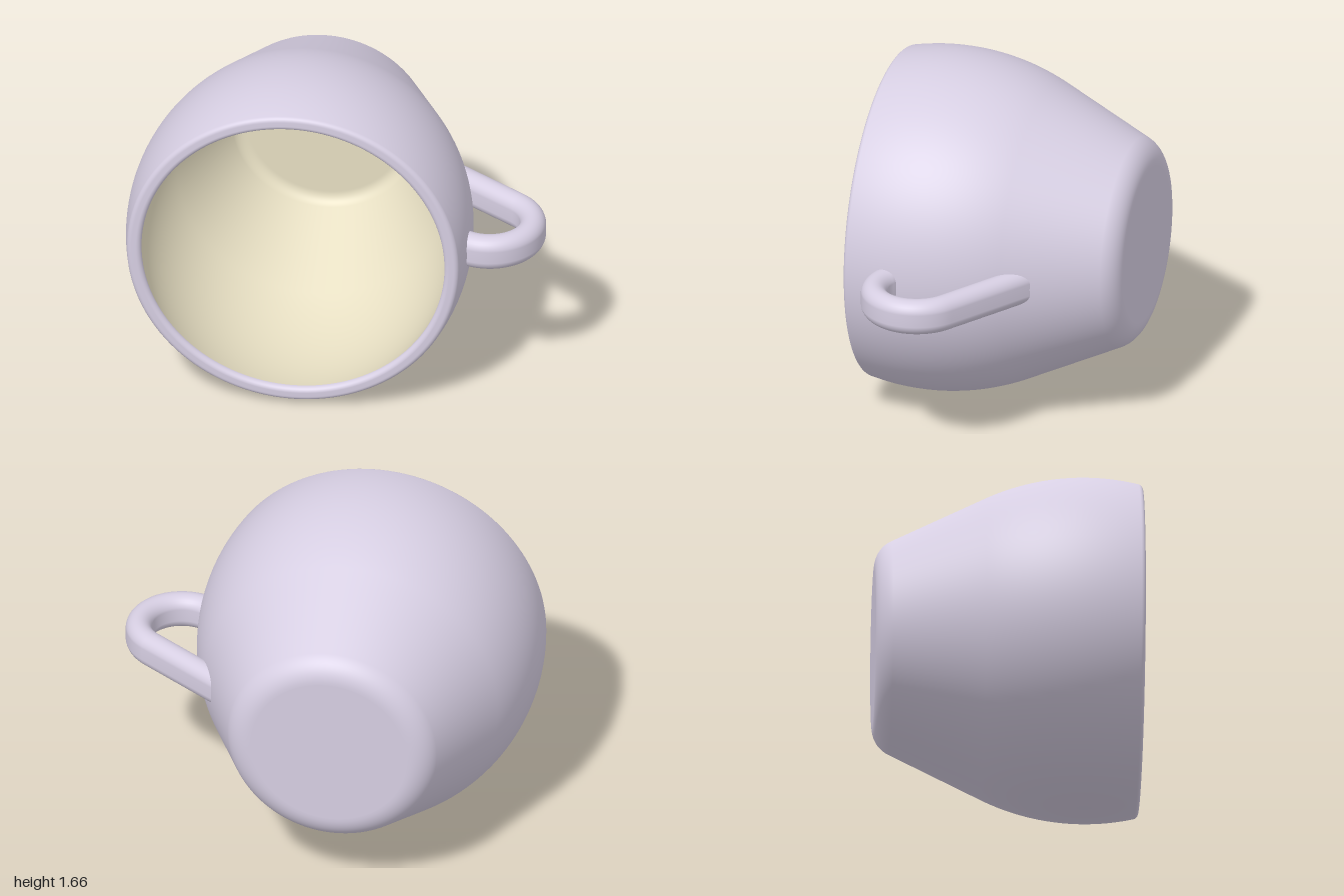
import * as THREE from 'three';

const SLOPE = 0.445;             // wall taper angle in radians
const AXIS_X = -0.17, AXIS_Y = 0.83;
const WALL = 0.07, BULGE = 1.14; // wall thickness, radius of the bulging side

// Points (radius, z) along an arc
function arc(cr, cz, radius, from, to, n) {
  return Array.from({ length: n + 1 }, (_, i) => {
    const a = from + (to - from) * i / n;
    return new THREE.Vector2(cr + radius * Math.cos(a), cz + radius * Math.sin(a));
  });
}

// Base centre, rounded foot, straight taper and bulge, inset by `inset`
function wallProfile(inset, endAngle) {
  const foot = 0.14 - inset, base = -0.5 - foot;
  return [
    new THREE.Vector2(0, base),
    new THREE.Vector2(0.38, base),
    ...arc(0.385, -0.5, foot, -Math.PI / 2, -SLOPE, 12),
    ...arc(-0.31, 0.37, BULGE - inset, -SLOPE, endAngle, 28),
  ];
}

// Outer radius of the side wall at a given z
function outerRadius(z) {
  const join = 0.37 - BULGE * Math.sin(SLOPE);
  if (z > join) return -0.31 + Math.sqrt(BULGE ** 2 - (z - 0.37) ** 2);
  return -0.31 + BULGE * Math.cos(SLOPE) + (z - join) * Math.tan(SLOPE);
}

function lathe(points, material, name) {
  const geometry = new THREE.LatheGeometry(points, 128);
  geometry.rotateX(Math.PI / 2);
  const mesh = new THREE.Mesh(geometry, material);
  mesh.position.set(AXIS_X, AXIS_Y, 0);
  mesh.name = name;
  return mesh;
}

// Stadium section swept round the bend, its ends trimmed inside the wall
function handleGeometry() {
  const cx = 0.73, cz = 0.235, bend = 0.207, half = 0.0625, straight = 0.025;
  const from = -0.977, to = Math.PI / 2 + 0.38, steps = 36, sides = 32;
  const rings = [];
  const ring = (a, trim) => {
    const points = [];
    for (let j = 0; j < sides; j++) {
      const t = (j + 0.5) / sides * Math.PI * 2;
      const d = bend + half * Math.cos(t);
      const p = new THREE.Vector3(cx + d * Math.cos(a),
        half * Math.sin(t) + Math.sign(Math.sin(t)) * straight, cz + d * Math.sin(a));
      // slide along the path until halfway through the wall
      for (let k = 0; trim && k < 400; k++) {
        if (Math.hypot(p.x - AXIS_X, p.y) < outerRadius(p.z) - WALL / 2) break;
        p.x -= trim * Math.sin(a) * 0.003;
        p.z += trim * Math.cos(a) * 0.003;
      }
      points.push(p);
    }
    rings.push(points);
  };
  ring(from, -1);
  for (let i = 0; i <= steps; i++) ring(from + (to - from) * i / steps, 0);
  ring(to, 1);

  const index = [];
  for (let i = 0; i < rings.length - 1; i++) {
    for (let j = 0; j < sides; j++) {
      const a = i * sides + j, b = i * sides + (j + 1) % sides;
      index.push(a, b, a + sides, b, b + sides, a + sides);
    }
  }
  const geometry = new THREE.BufferGeometry().setFromPoints(rings.flat());
  geometry.setIndex(index);
  geometry.computeVertexNormals();
  return geometry;
}

export function createModel() {
  const group = new THREE.Group();
  group.name = 'cup';
  const glaze = new THREE.MeshStandardMaterial({ color: 0xd6cee2 });
  const cream = new THREE.MeshStandardMaterial({ color: 0xe6dec2 });

  // Outer shell with a rounded lip running over to the inside
  const lip = 0.025;
  const outAngle = Math.asin(0.25 / BULGE);
  const inAngle = Math.asin(0.24 / (BULGE - WALL));
  const outer = wallProfile(0, outAngle);
  const inner = wallProfile(WALL, inAngle);
  const o = outer[outer.length - 1], n = inner[inner.length - 1];
  const rim = [
    ...arc(o.x - lip * Math.cos(outAngle), o.y - lip * Math.sin(outAngle), lip, outAngle, Math.PI / 2, 8),
    ...arc(n.x + lip * Math.cos(inAngle), n.y + lip * Math.sin(inAngle), lip, Math.PI / 2, Math.PI + inAngle, 8),
  ];
  // drop coincident points so the normals stay smooth
  const clean = pts => pts.filter((p, i) => i === 0 || p.distanceTo(pts[i - 1]) > 1e-4);
  group.add(lathe(clean([...outer, ...rim]), glaze, 'outerShell'));

  // Cream lining
  group.add(lathe(clean(inner).reverse(), cream, 'innerLining'));

  // Side handle
  const handle = new THREE.Mesh(handleGeometry(), glaze);
  handle.position.y = AXIS_Y;
  handle.name = 'handle';
  group.add(handle);
  return group;
}
